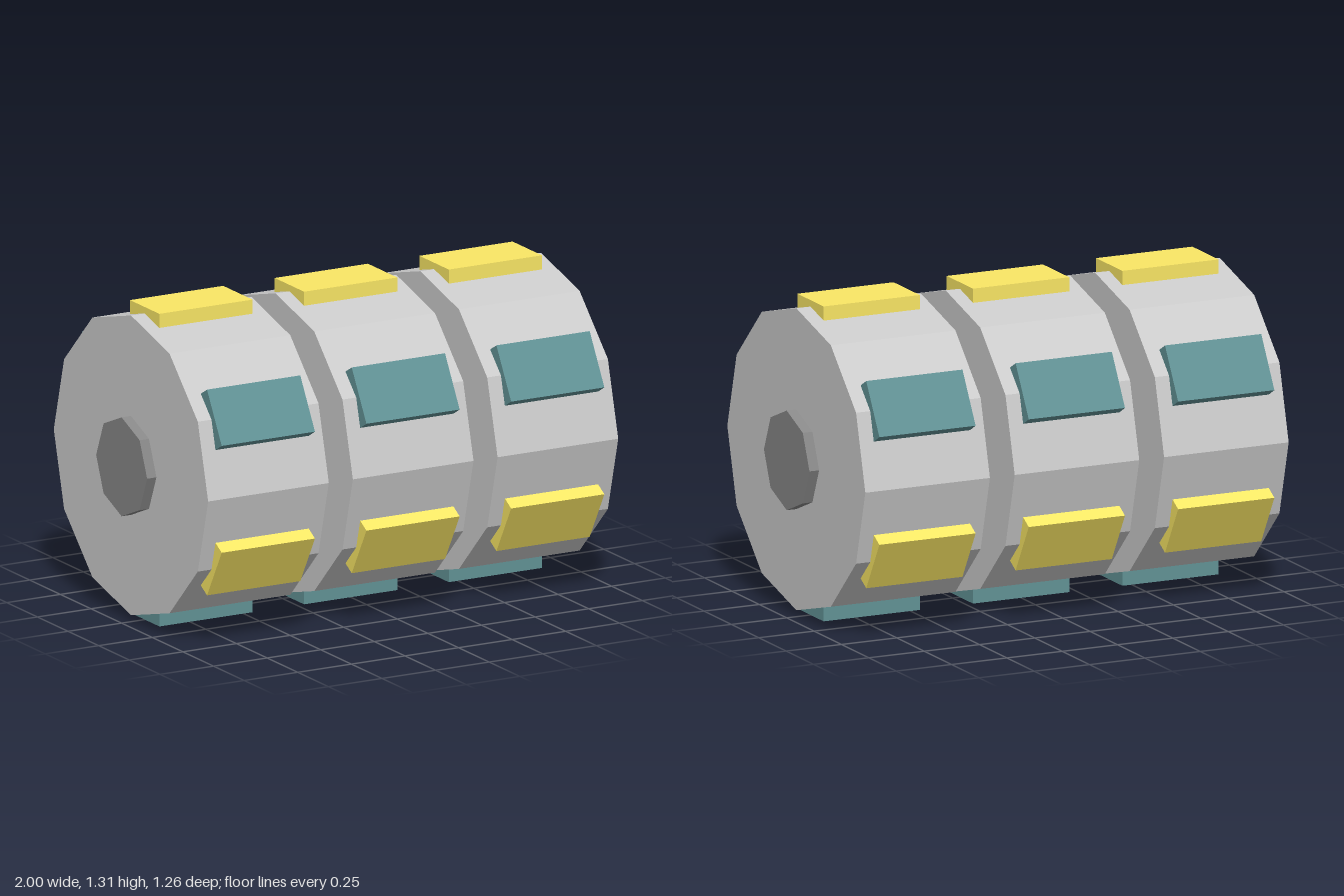
import * as THREE from 'three';

const material = (color) => new THREE.MeshStandardMaterial({ color, flatShading: true });

export function createModel() {
  const model = new THREE.Group();
  model.name = 'segmentedRoller';

  const grey = material(0xcccccc);
  const darkGrey = material(0x888888);
  const yellow = material(0xfae765);
  const teal = material(0x629396);

  // Faceted cylinders lying along x
  const drumGeometry = new THREE.CylinderGeometry(0.63, 0.63, 0.563, 12).rotateZ(Math.PI / 2);
  const hubGeometry = new THREE.CylinderGeometry(0.208, 0.208, 0.65, 8).rotateZ(Math.PI / 2);

  // Tread block, offset so its outer face sits 0.657 from the axis
  const padGeometry = new THREE.BoxGeometry(0.435, 0.075, 0.24).translate(0, 0.657 - 0.0375, 0);

  const add = (parent, name, geometry, mat) => {
    const mesh = new THREE.Mesh(geometry, mat);
    mesh.name = name;
    parent.add(mesh);
    return mesh;
  };

  ['right', 'middle', 'left'].forEach((side, i) => {
    const segment = new THREE.Group();
    segment.name = `${side}Segment`;
    segment.position.set((i - 1) * 0.675, 0.657, 0);

    add(segment, 'drum', drumGeometry, grey);
    add(segment, 'hub', hubGeometry, darkGrey);

    // Six pads around the drum, alternating colours
    for (let k = 0; k < 6; k++) {
      const pad = add(segment, `pad${k + 1}`, padGeometry, k % 2 ? teal : yellow);
      pad.rotation.x = (k * Math.PI) / 3;
    }
    model.add(segment);
  });

  return model;
}
